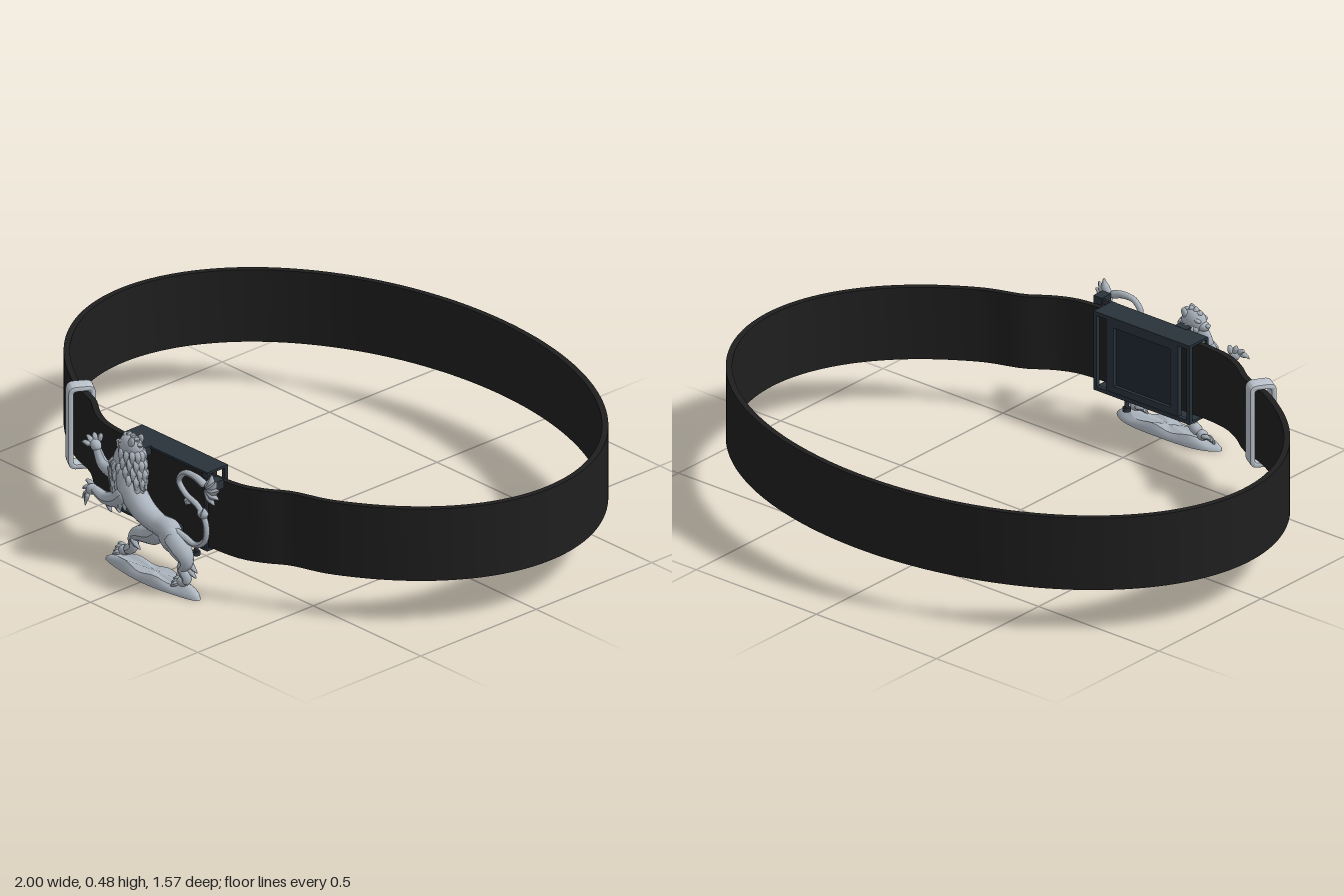
import * as THREE from 'three';
import { toCreasedNormals } from 'three/addons/utils/BufferGeometryUtils.js';

const mat = (name, color) => Object.assign(new THREE.MeshStandardMaterial({ color }), { name });
const leather = mat('black leather', 0x1f1f1f);
const gunmetal = mat('gunmetal', 0x29323b);
const darkPanel = mat('dark panel', 0x1f2831);
const silver = mat('silver', 0xacb5bf);
const bright = mat('bright steel', 0xbcc4cd);

function add(parent, name, geo, material, x = 0, y = 0, z = 0) {
  const m = new THREE.Mesh(geo, material);
  m.name = name;
  m.position.set(x, y, z);
  parent.add(m);
  return m;
}
const box = (parent, name, w, h, d, material, x, y, z) =>
  add(parent, name, new THREE.BoxGeometry(w, h, d), material, x, y, z);

// Tapered round-ended tube through [x, y, z, radius] points
function limb(parent, name, pts, seg = 24, sides = 10) {
  const curve = new THREE.CatmullRomCurve3(pts.map(p => new THREE.Vector3(p[0], p[1], p[2])));
  const geo = new THREE.TubeGeometry(curve, seg, 1, sides, false);
  const pos = geo.attributes.position, v = new THREE.Vector3(), len = curve.getLength();
  for (let i = 0; i <= seg; i++) {
    const u = i / seg, c = curve.getPointAt(u);
    const f = curve.getUtoTmapping(u) * (pts.length - 1);
    const k = Math.min(Math.floor(f), pts.length - 2);
    let r = THREE.MathUtils.lerp(pts[k][3], pts[k + 1][3], f - k);
    const d = Math.min(u, 1 - u) * len;
    if (d < r) r *= Math.sqrt(1 - (1 - d / r) ** 2);
    for (let j = 0; j <= sides; j++) {
      const n = i * (sides + 1) + j;
      v.fromBufferAttribute(pos, n).sub(c).multiplyScalar(r).add(c);
      pos.setXYZ(n, v.x, v.y, v.z);
    }
  }
  geo.computeVertexNormals();
  return add(parent, name, geo, silver);
}

function blob(parent, name, x, y, z, rx, ry, rz, tilt = 0) {
  const m = add(parent, name, new THREE.SphereGeometry(1, 20, 14), silver, x, y, z);
  m.scale.set(rx, ry, rz);
  m.rotation.z = tilt;
  return m;
}

// Paw with clawed toes along angle a, fanned by the given spread
function paw(parent, name, x, y, z, a, spread, size = 1) {
  const g = new THREE.Group();
  g.name = name;
  g.position.set(x, y, z);
  g.scale.setScalar(size);
  blob(g, 'pad', 0, 0, 0, 0.022, 0.018, 0.018, a);
  for (let i = -1.5; i <= 1.5; i++) {
    const b = a + i * spread, c = Math.cos(b), s = Math.sin(b), dz = i * 0.01;
    limb(g, 'toe', [[c * 0.01, s * 0.01, dz, 0.009], [c * 0.03, s * 0.03, dz, 0.009],
      [c * 0.042, s * 0.042 - 0.003, dz, 0.005], [c * 0.05, s * 0.05 - 0.01, dz, 0.002]], 10, 7);
  }
  parent.add(g);
}

function beltPath() {
  const front = [[0.46, 0.56], [0.39, 0.608], [0.32, 0.64], [0.24, 0.652], [0.12, 0.655]];
  const pts = [];
  for (let i = -25; i <= 25; i++) {
    const a = i / 25 * 2.52, b = Math.cos(a) > 0 ? 0.72 : 0.71;
    pts.push([0.99 * Math.sin(a), -0.06 - b * Math.cos(a)]);
  }
  front.forEach(p => pts.push(p));
  front.reverse().forEach(p => pts.push([-p[0], p[1]]));
  return new THREE.CatmullRomCurve3(pts.map(p => new THREE.Vector3(p[0], 0, p[1])), true);
}

function frameShape(w, h, iw, ih, r) {
  const ring = (S, a, b, q) => {
    const s = new S();
    s.moveTo(-a + q, -b); s.lineTo(a - q, -b); s.quadraticCurveTo(a, -b, a, -b + q);
    s.lineTo(a, b - q); s.quadraticCurveTo(a, b, a - q, b);
    s.lineTo(-a + q, b); s.quadraticCurveTo(-a, b, -a, b - q);
    s.lineTo(-a, -b + q); s.quadraticCurveTo(-a, -b, -a + q, -b);
    return s;
  };
  const s = ring(THREE.Shape, w / 2, h / 2, r);
  s.holes.push(ring(THREE.Path, iw / 2, ih / 2, r * 0.6));
  return s;
}

function buildBelt(root) {
  const curve = beltPath(), N = 200, inner = [], outer = [];
  for (let i = 0; i < N; i++) {
    const p = curve.getPointAt(i / N), t = curve.getTangentAt(i / N);
    for (const [list, o] of [[outer, 0.01], [inner, -0.01]])
      list.push(new THREE.Vector2(p.x + t.z * o, -(p.z - t.x * o)));
  }
  // The hole winds against the outline so both walls face outward
  const shape = new THREE.Shape(outer);
  shape.holes.push(new THREE.Path(inner.reverse()));
  const geo = new THREE.ExtrudeGeometry(shape, { depth: 0.253, bevelEnabled: false });
  geo.rotateX(-Math.PI / 2);
  add(root, 'strap', toCreasedNormals(geo, 0.6), leather, 0, 0.152, 0);

  // Keeper loop around the strap
  const loop = new THREE.ExtrudeGeometry(frameShape(0.085, 0.285, 0.06, 0.26, 0.025),
    { depth: 0.046, bevelEnabled: true, bevelSize: 0.002, bevelThickness: 0.003, bevelSegments: 2 });
  loop.translate(0, 0, -0.023);
  add(root, 'keeperLoop', toCreasedNormals(loop, 0.6), bright, -0.545, 0.2805, 0.535)
    .rotation.y = Math.PI / 2 - 0.56;
}

function buildBuckle(root) {
  const g = new THREE.Group();
  g.name = 'buckle';
  root.add(g);
  const frame = (name, w, h, iw, ih, depth, z) => add(g, name,
    new THREE.ExtrudeGeometry(frameShape(w, h, iw, ih, 0.003), { depth, bevelEnabled: false }), gunmetal, 0, 0.2825, z);
  frame('backFrame', 0.4, 0.275, 0.374, 0.25, 0.014, 0.59);
  frame('panelFrame', 0.3, 0.255, 0.235, 0.205, 0.018, 0.592);
  box(g, 'backPanel', 0.24, 0.21, 0.008, darkPanel, 0, 0.2825, 0.607);
  for (const y of [0.148, 0.417]) box(g, 'flange', 0.4, 0.008, 0.09, gunmetal, 0, y, 0.635);
  frame('frontFrame', 0.4, 0.275, 0.38, 0.262, 0.008, 0.674);
  // Adjusting pin and mounts behind the figure
  add(g, 'pin', new THREE.CylinderGeometry(0.007, 0.007, 0.06, 14), gunmetal, 0.1, 0.117, 0.635);
  add(g, 'pinHead', new THREE.CylinderGeometry(0.013, 0.013, 0.014, 16), gunmetal, 0.1, 0.09, 0.635);
  box(g, 'tailArm', 0.085, 0.016, 0.01, gunmetal, 0.225, 0.411, 0.68);
  box(g, 'tailMount', 0.035, 0.03, 0.045, gunmetal, 0.255, 0.407, 0.697);
  box(g, 'headMount', 0.05, 0.03, 0.05, gunmetal, -0.09, 0.407, 0.7);
  box(g, 'hipMount', 0.03, 0.05, 0.04, gunmetal, 0.07, 0.17, 0.695);
}

function buildLion(root) {
  const g = new THREE.Group();
  g.name = 'lion';
  g.position.z = 0.733;
  root.add(g);

  // Ground mound
  const mound = new THREE.CylinderGeometry(1, 1, 1, 40, 4), p = mound.attributes.position;
  for (let i = 0; i < p.count; i++) {
    const h = p.getY(i) + 0.5, a = Math.atan2(p.getZ(i), p.getX(i));
    const w = 1 - 0.25 * h * h + 0.03 * Math.sin(a * 5);
    p.setXYZ(i, p.getX(i) * w * 0.215 + 0.01, h * (0.03 + 0.006 * Math.sin(p.getX(i) * 7)), p.getZ(i) * w * 0.05);
  }
  mound.computeVertexNormals();
  add(g, 'base', mound, silver);

  // Torso
  limb(g, 'torso', [[-0.12, 0.37, 0, 0.035], [-0.1, 0.29, 0, 0.045], [-0.04, 0.225, 0, 0.041],
    [0.03, 0.2, 0, 0.034], [0.08, 0.195, 0, 0.038], [0.12, 0.18, 0, 0.032]], 32, 14);
  blob(g, 'haunch', 0.1, 0.175, 0.012, 0.055, 0.042, 0.03, -0.6);
  blob(g, 'haunch', 0.03, 0.17, -0.012, 0.042, 0.038, 0.025, 0.5);

  // Hind legs
  limb(g, 'hindLeg', [[0.09, 0.19, 0.012, 0.035], [0.15, 0.155, 0.015, 0.036], [0.175, 0.125, 0.015, 0.025],
    [0.155, 0.09, 0.012, 0.019], [0.175, 0.06, 0.012, 0.016], [0.165, 0.045, 0.012, 0.02]]);
  paw(g, 'hindPaw', 0.155, 0.045, 0.012, -3, 0.25, 0.95);
  limb(g, 'hindLeg', [[0.05, 0.19, -0.01, 0.035], [0, 0.15, -0.012, 0.036], [-0.075, 0.125, -0.012, 0.026],
    [-0.1, 0.105, -0.012, 0.018], [-0.1, 0.07, -0.012, 0.017], [-0.135, 0.045, -0.012, 0.02]]);
  paw(g, 'hindPaw', -0.142, 0.043, -0.012, -3, 0.25, 0.95);
  for (const [x, y] of [[-0.075, 0.09], [0.19, 0.1], [0.185, 0.08]])
    limb(g, 'legTuft', [[x - 0.02, y + 0.02, 0, 0.012], [x, y, 0, 0.009], [x + 0.022, y - 0.012, 0, 0.002]], 10, 7);

  // Forelegs
  limb(g, 'foreleg', [[-0.12, 0.3, -0.01, 0.035], [-0.19, 0.3, -0.012, 0.026], [-0.24, 0.31, -0.012, 0.02],
    [-0.265, 0.345, -0.012, 0.015], [-0.275, 0.365, -0.012, 0.014]]);
  paw(g, 'forePaw', -0.275, 0.365, -0.012, 2.2, 0.55);
  limb(g, 'foreleg', [[-0.09, 0.28, 0.015, 0.036], [-0.14, 0.235, 0.018, 0.029], [-0.2, 0.215, 0.016, 0.021],
    [-0.25, 0.225, 0.014, 0.015], [-0.27, 0.225, 0.014, 0.013]]);
  paw(g, 'forePaw', -0.265, 0.222, 0.014, -2.7, 0.55);
  for (const [x, y, z] of [[-0.19, 0.27, -0.012], [-0.225, 0.285, -0.012], [-0.15, 0.2, 0.016], [-0.19, 0.19, 0.016]])
    limb(g, 'elbowTuft', [[x, y + 0.02, z, 0.012], [x + 0.008, y, z, 0.009], [x + 0.02, y - 0.015, z, 0.002]], 10, 7);

  // Head facing the model's right
  blob(g, 'skull', -0.098, 0.425, 0, 0.047, 0.045, 0.032);
  blob(g, 'muzzle', -0.137, 0.419, 0, 0.022, 0.017, 0.019, -0.15);
  blob(g, 'jaw', -0.128, 0.394, 0, 0.019, 0.009, 0.015, 0.3);
  blob(g, 'nose', -0.156, 0.426, 0, 0.007, 0.007, 0.01);
  for (const s of [-1, 1]) {
    blob(g, 'brow', -0.125, 0.442, s * 0.017, 0.014, 0.007, 0.009, 0.3);
    blob(g, 'cheek', -0.115, 0.41, s * 0.022, 0.018, 0.015, 0.01);
    blob(g, 'ear', -0.075, 0.455, s * 0.02, 0.012, 0.018, 0.008, -0.4);
  }
  for (let i = 0; i < 5; i++) {
    const a = 2.1 - i * 0.42, c = Math.cos(a), s = Math.sin(a);
    limb(g, 'crestLock', [[-0.1 + c * 0.03, 0.425 + s * 0.03, 0, 0.014], [-0.1 + c * 0.045, 0.425 + s * 0.045, 0, 0.01],
      [-0.095 + c * 0.055, 0.425 + s * 0.053, 0, 0.004]], 10, 7);
  }

  // Mane of drooping locks
  blob(g, 'maneCore', -0.115, 0.335, 0, 0.066, 0.1, 0.03, -0.1);
  for (let row = 0; row < 7; row++) {
    const y = 0.425 - row * 0.029, rx = [0.05, 0.06, 0.067, 0.069, 0.062, 0.05, 0.034][row], cx = -0.1 - row * 0.004;
    for (let i = 0; i < 14; i++) {
      const a = (i + (row % 2) / 2) / 14 * Math.PI * 2, c = Math.cos(a) * rx, s = Math.sin(a) * 0.028;
      if (row < 2 && Math.cos(a) < -0.4) continue;
      limb(g, 'maneLock', [[cx + c * 0.85, y, s * 0.85, 0.009], [cx + c * 1.08, y - 0.016, s * 1.08, 0.011],
        [cx + c * 1.08, y - 0.032, s * 1.12, 0.008], [cx + c * 1.2, y - 0.046, s * 1.15, 0.002]], 10, 7);
    }
  }

  // Curling tail and tufts
  limb(g, 'tail', [[0.1, 0.2, 0, 0.016], [0.15, 0.195, 0, 0.012], [0.2, 0.185, 0, 0.01], [0.245, 0.215, 0, 0.01],
    [0.25, 0.275, 0, 0.01], [0.215, 0.325, 0, 0.01], [0.155, 0.35, 0, 0.01], [0.125, 0.385, 0, 0.01],
    [0.15, 0.42, 0, 0.01], [0.2, 0.425, 0, 0.012], [0.25, 0.41, 0, 0.014]], 70, 10);
  const tuft = (x, y, a, length) => limb(g, 'tailTuft', [[x, y, 0, 0.012],
    [x + Math.cos(a) * length * 0.55, y + Math.sin(a) * length * 0.55, 0, 0.014],
    [x + Math.cos(a + 0.2) * length, y + Math.sin(a + 0.2) * length, 0, 0.002]], 14, 8);
  for (const a of [-1.1, -0.55, 0, 0.5, 0.95]) tuft(0.253, 0.403, a, 0.062);
  for (const a of [1.2, 2]) tuft(0.235, 0.29, a, 0.04);
  tuft(0.18, 0.34, -2.4, 0.035);
}

export function createModel() {
  const root = new THREE.Group();
  root.name = 'beltWithLionBuckle';
  buildBelt(root);
  buildBuckle(root);
  buildLion(root);
  return root;
}
